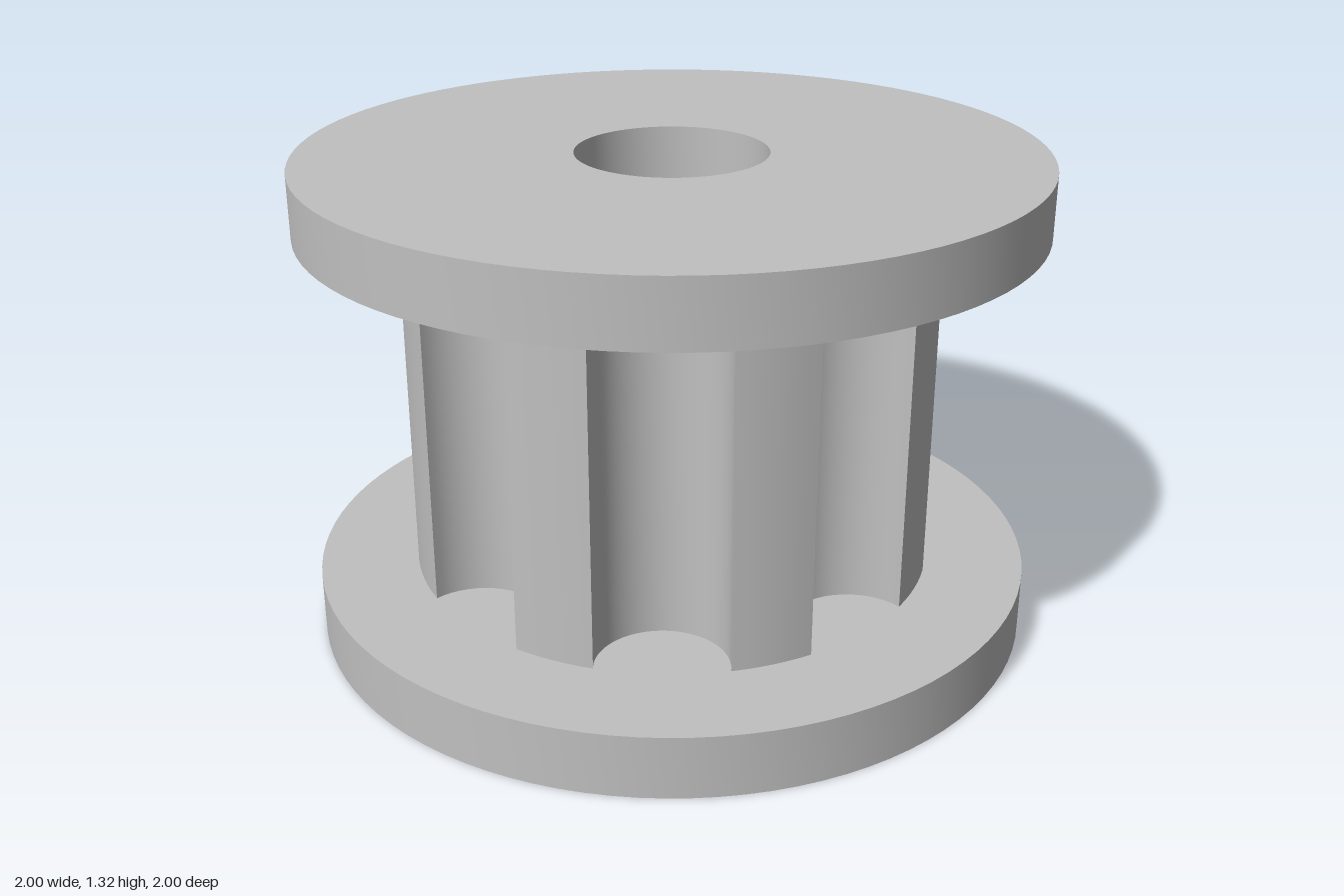
import * as THREE from 'three';
import { toCreasedNormals } from 'three/addons/utils/BufferGeometryUtils.js';

const BORE = 0.26, FLANGE_R = 1, FLANGE_H = 0.173, HEIGHT = 1.323;
const TEETH = 8, TOOTH_R = 0.73, GROOVE_CENTRE = 0.697, GROOVE_R = 0.175;
const rad = THREE.MathUtils.degToRad;

// Extrude a flat outline upwards from y0 to y1 with the bore cut through it
function extrudeUp(shape, y0, y1) {
  const bore = new THREE.Path();
  bore.absarc(0, 0, BORE, 0, Math.PI * 2, true);
  shape.holes.push(bore);
  const geo = new THREE.ExtrudeGeometry(shape, { depth: y1 - y0, bevelEnabled: false, curveSegments: 48 });
  geo.rotateX(-Math.PI / 2).translate(0, y0, 0);
  return toCreasedNormals(geo, rad(25));
}

// Toothed outline: flat-topped lands separated by round grooves
function toothedShape() {
  const points = [];
  const pitch = (Math.PI * 2) / TEETH, halfLand = rad(8.7), offset = rad(-4.8);
  const halfGroove = pitch / 2 - halfLand;
  // Groove end seen from the groove's own centre
  const endAngle = Math.atan2(TOOTH_R * Math.sin(halfGroove), TOOTH_R * Math.cos(halfGroove) - GROOVE_CENTRE);
  for (let i = 0; i < TEETH; i++) {
    const land = offset + i * pitch, groove = land + pitch / 2;
    for (let j = 0; j <= 6; j++) {
      const a = land - halfLand + (2 * halfLand * j) / 6;
      points.push(new THREE.Vector2(TOOTH_R * Math.cos(a), TOOTH_R * Math.sin(a)));
    }
    const cx = GROOVE_CENTRE * Math.cos(groove), cy = GROOVE_CENTRE * Math.sin(groove);
    const start = -endAngle, sweep = -(Math.PI * 2 - 2 * endAngle);
    for (let j = 1; j < 24; j++) {
      const a = groove + start + (sweep * j) / 24;
      points.push(new THREE.Vector2(cx + GROOVE_R * Math.cos(a), cy + GROOVE_R * Math.sin(a)));
    }
  }
  return new THREE.Shape(points);
}

function discShape() {
  const shape = new THREE.Shape();
  shape.absarc(0, 0, FLANGE_R, 0, Math.PI * 2, false);
  return shape;
}

export function createModel() {
  const group = new THREE.Group();
  group.name = 'toothedPulley';
  const grey = new THREE.MeshStandardMaterial({ color: 0xc0c0c0 });
  grey.name = 'light grey';

  const add = (name, geometry) => {
    const mesh = new THREE.Mesh(geometry, grey);
    mesh.name = name;
    group.add(mesh);
  };

  add('lowerFlange', extrudeUp(discShape(), 0, FLANGE_H));
  add('toothedHub', extrudeUp(toothedShape(), FLANGE_H, HEIGHT - FLANGE_H));
  add('upperFlange', extrudeUp(discShape(), HEIGHT - FLANGE_H, HEIGHT));
  return group;
}
